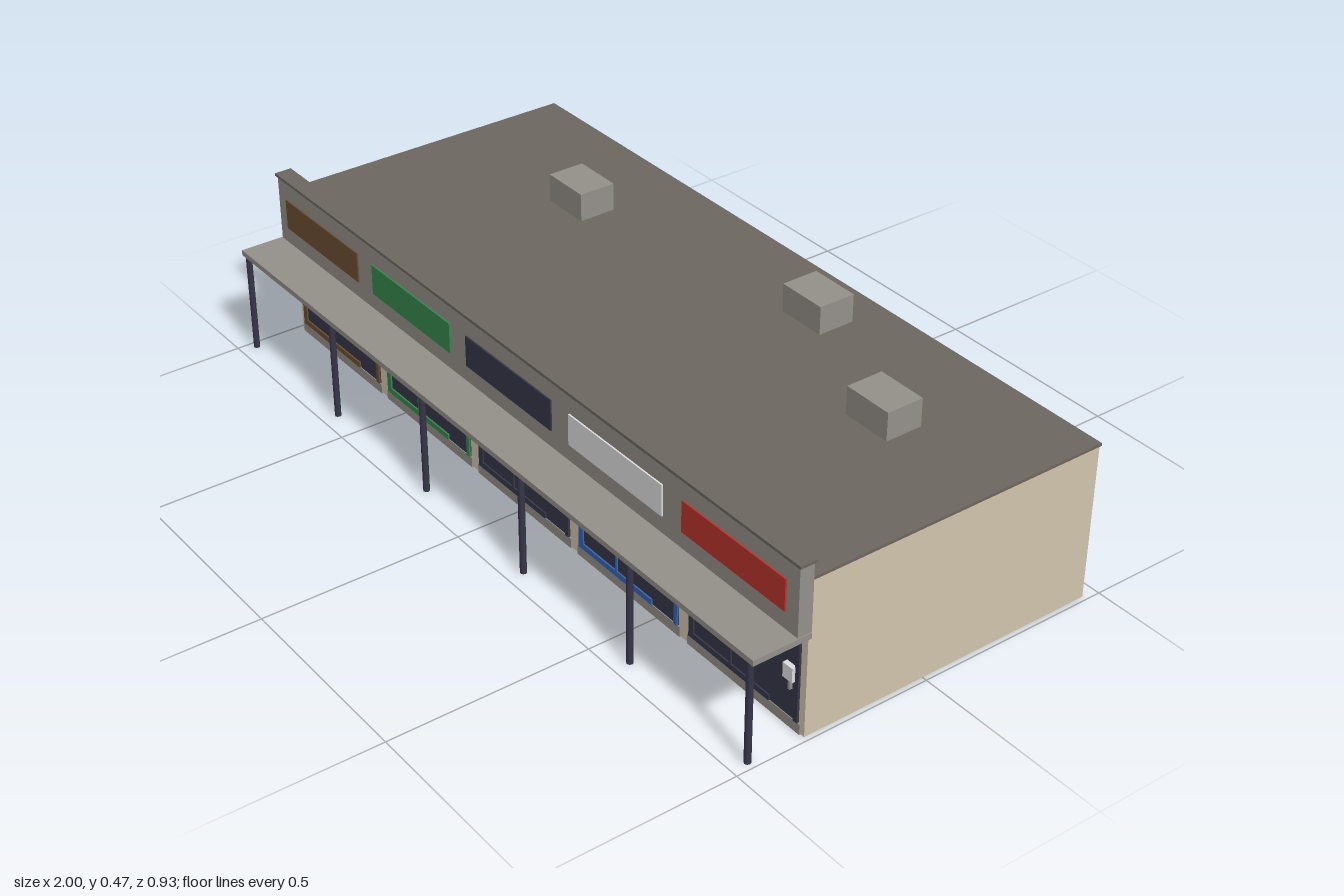
import * as THREE from 'three';

const mat = (name, color) => {
  const m = new THREE.MeshStandardMaterial({ color });
  m.name = name;
  return m;
};

export function createModel() {
  const beige = mat('beige render', 0xd2c5ad);
  const grey = mat('grey concrete', 0x94908a);
  const dark = mat('dark roofing', 0x6c6760);
  const navy = mat('navy glass', 0x36364a);
  const brown = mat('brown', 0x6e4e32);
  const green = mat('green', 0x36884e);
  const blue = mat('blue', 0x3664b2);
  const red = mat('red', 0xb8342a);
  const white = mat('white', 0xdcdedc);

  const group = new THREE.Group();
  // Box given by its limits on each axis
  const box = (name, m, x0, x1, y0, y1, z0, z1, parent = group) => {
    const mesh = new THREE.Mesh(new THREE.BoxGeometry(x1 - x0, y1 - y0, z1 - z0), m);
    mesh.name = name;
    mesh.position.set((x0 + x1) / 2, (y0 + y1) / 2, (z0 + z1) / 2);
    parent.add(mesh);
    return mesh;
  };

  const F = 0.318; // shop front plane
  const bay = 0.396;

  // Main shell, roof, parapet and canopy
  box('walls', beige, -0.988, 0.988, 0, 0.392, -0.462, F);
  box('roof', dark, -0.991, 0.991, 0.392, 0.399, -0.465, F);
  box('parapet', grey, -0.995, 0.995, 0.27, 0.44, 0.316, 0.352);
  box('parapetCap', dark, -1, 1, 0.44, 0.447, 0.312, 0.356);
  box('canopy', grey, -0.998, 0.998, 0.256, 0.27, F, 0.465);

  // Rooftop units
  for (const [x, z] of [[-0.496, -0.2], [0.245, -0.32], [0.655, -0.157]])
    box('rooftopUnit', grey, x - 0.065, x + 0.065, 0.399, 0.47, z - 0.048, z + 0.048);

  // Canopy posts
  for (let i = 0; i < 6; i++) {
    const post = new THREE.Mesh(new THREE.CylinderGeometry(0.008, 0.008, 0.256, 8), navy);
    post.name = 'canopyPost';
    post.position.set(-0.98 + i * 0.392, 0.128, 0.457);
    group.add(post);
  }

  // Each shop: sign and frame colours, then posters as [colour, offset, width, height of centre]
  const shops = [
    { sign: brown, frame: brown, posters: [[beige, -0.088, 0.048, 0.153], [white, -0.034, 0.018, 0.155], [white, -0.01, 0.022, 0.155]] },
    { sign: green, frame: green, posters: [[blue, -0.095, 0.044, 0.145], [red, -0.03, 0.044, 0.157]] },
    { sign: navy, frame: navy, posters: [[beige, -0.095, 0.044, 0.153], [red, -0.048, 0.012, 0.158], [red, -0.022, 0.027, 0.162]] },
    { sign: white, frame: blue, posters: [[green, -0.095, 0.044, 0.158], [white, -0.034, 0.048, 0.145]] },
    { sign: red, frame: navy, posters: [[red, -0.095, 0.044, 0.148], [blue, -0.046, 0.018, 0.153], [blue, -0.022, 0.027, 0.153]] },
  ];

  shops.forEach((s, i) => {
    const shop = new THREE.Group();
    shop.name = 'shopUnit' + (i + 1);
    shop.position.x = (i - 2) * bay;
    group.add(shop);

    box('sign', s.sign, -0.165, 0.165, 0.314, 0.392, 0.352, 0.356, shop);
    box('stallRiser', grey, -0.185, 0.185, 0, 0.026, F, F + 0.004, shop);
    box('glass', navy, -0.178, 0.178, 0.026, 0.247, F, F + 0.002, shop);

    // Window frame: jambs, head, sill and mullion
    const z = F + 0.006;
    box('leftJamb', s.frame, -0.178, -0.162, 0.026, 0.247, F, z, shop);
    box('rightJamb', s.frame, 0.166, 0.178, 0.026, 0.247, F, z, shop);
    box('frameHead', s.frame, -0.178, 0.178, 0.237, 0.247, F, z, shop);
    box('windowSill', s.frame, -0.162, 0.088, 0.026, 0.04, F, z, shop);
    box('mullion', s.frame, -0.042, -0.036, 0.04, 0.237, F, z, shop);
    box('doorHandle', grey, 0.151, 0.157, 0.1, 0.13, F, F + 0.01, shop);

    // Posters in the window
    for (const [m, x, w, y] of s.posters)
      box('poster', m, x - w / 2, x + w / 2, y - 0.03, y + 0.03, F, F + 0.004, shop);

    // Service door at the back
    box('backDoor', grey, -0.037, 0.037, 0, 0.168, -0.466, -0.462, shop);
  });

  // Wall boxes at either end of the front
  box('redWallBox', red, -1, -0.972, 0.11, 0.162, F - 0.004, F + 0.014);
  box('whiteWallBox', white, 0.93, 0.96, 0.126, 0.162, F, F + 0.014);

  return group;
}
